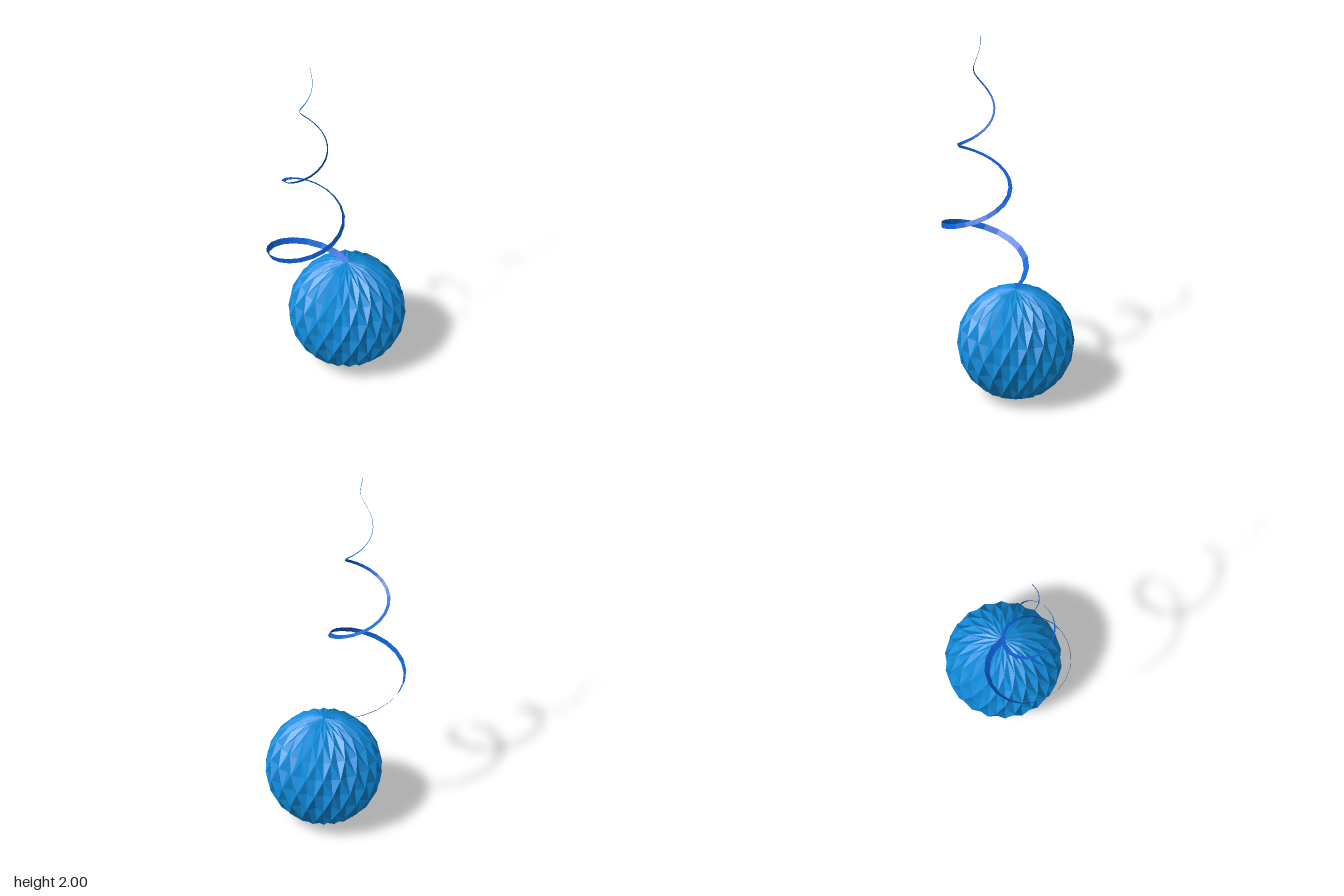
import * as THREE from 'three';

const paperBlue = new THREE.MeshStandardMaterial({ name: 'paper blue', color: 0x108cdc, flatShading: true });
const ribbonBlue = new THREE.MeshStandardMaterial({ name: 'ribbon blue', color: 0x1062d6, flatShading: true, side: THREE.DoubleSide });

function triangleMesh(name, triangles, material) {
  const geometry = new THREE.BufferGeometry().setFromPoints(triangles.flat());
  geometry.computeVertexNormals();
  const mesh = new THREE.Mesh(geometry, material);
  mesh.name = name;
  return mesh;
}

// Folded paper ball: staggered tips joined by ridges, with a pit inside every diamond
function foldedBall() {
  const rows = 10, columns = 40, radius = 0.304, pitDepth = 0.028;
  const isTip = (i, j) => (i + j) % 2 === 0;
  const vertex = (i, j) => {
    const polar = (i / rows) * Math.PI, turn = (j / columns) * Math.PI * 2;
    const r = radius - (isTip(i, j) || i % rows === 0 ? 0 : pitDepth * Math.sin(polar));
    return new THREE.Vector3(
      r * Math.sin(polar) * Math.cos(turn),
      r * Math.cos(polar),
      r * Math.sin(polar) * Math.sin(turn)
    );
  };
  const triangles = [];
  for (let i = 0; i < rows; i++) {
    for (let j = 0; j < columns; j++) {
      const a = vertex(i, j), b = vertex(i + 1, j);
      const c = vertex(i + 1, j + 1), d = vertex(i, j + 1);
      if (i === 0) triangles.push([a, c, b]);
      else if (i === rows - 1) triangles.push([a, d, b]);
      else if (isTip(i, j)) triangles.push([a, d, c], [a, c, b]);
      else triangles.push([a, d, b], [d, c, b]);
    }
  }
  const ball = triangleMesh('foldedBall', triangles, paperBlue);
  ball.position.set(0.08, 0.307, 0);
  return ball;
}

// Conical spiral: three turns that close in on the axis while rising
class Spiral extends THREE.Curve {
  getPoint(t, target = new THREE.Vector3()) {
    const angle = t * 3 * Math.PI * 2, r = 0.25 * (1 - t);
    return target.set(-0.17 + r * Math.cos(angle), 0.612 + 1.388 * t, -r * Math.sin(angle));
  }
  getPointAt(t, target) { return this.getPoint(t, target); }
  getTangentAt(t, target) { return this.getTangent(t, target); }
}

// Flat ribbon swept along the spiral, narrowing to the tip
function spiralRibbon() {
  const segments = 60, twist = -0.35;
  const curve = new Spiral();
  const { normals, binormals } = curve.computeFrenetFrames(segments, false);
  const edges = normals.map((normal, i) => {
    const t = i / segments;
    const across = normal.clone().multiplyScalar(Math.cos(twist))
      .addScaledVector(binormals[i], Math.sin(twist))
      .multiplyScalar(Math.max(0.0175 * (1 - t), 0.0015));
    const p = curve.getPoint(t);
    return [p.clone().add(across), p.clone().sub(across)];
  });
  const triangles = [];
  for (let i = 0; i < segments; i++) {
    const [a, b] = edges[i], [d, c] = edges[i + 1];
    triangles.push([a, b, c], [a, c, d]);
  }
  return triangleMesh('spiralRibbon', triangles, ribbonBlue);
}

export function createModel() {
  const model = new THREE.Group();
  model.name = 'hangingPaperBall';
  model.add(foldedBall(), spiralRibbon());
  return model;
}
